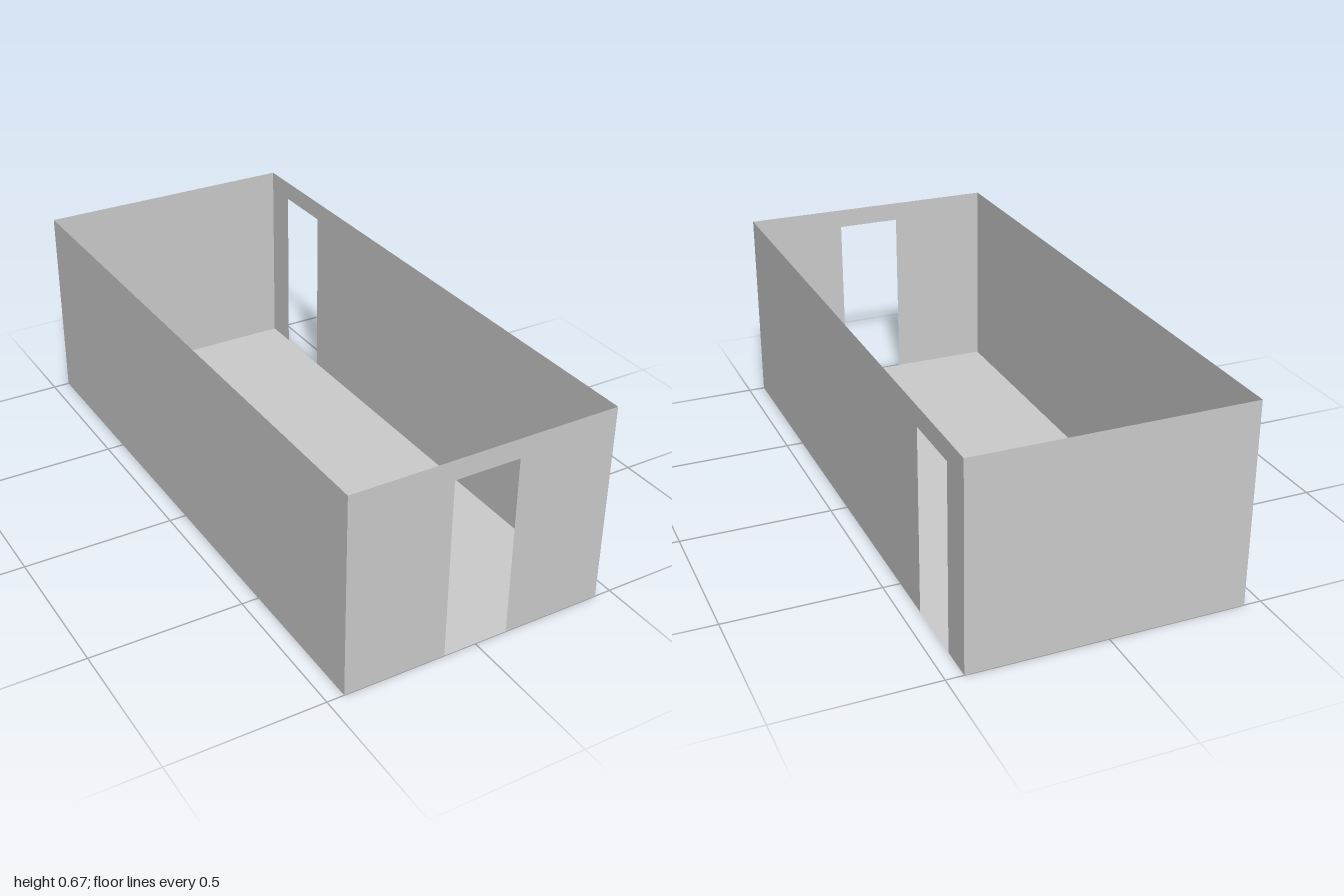
import * as THREE from 'three';

const HALF_W = 0.444, HALF_L = 1, HEIGHT = 0.668, DOOR_H = 0.603;

const material = new THREE.MeshStandardMaterial({
  color: 0xcccccc, flatShading: true, side: THREE.DoubleSide,
});

// Thin wall panel, centred on x; door = [from, to] cuts a doorway up from the floor
function makeWall(name, halfWidth, door) {
  const s = new THREE.Shape();
  s.moveTo(-halfWidth, 0);
  if (door) {
    s.lineTo(door[0], 0);
    s.lineTo(door[0], DOOR_H);
    s.lineTo(door[1], DOOR_H);
    s.lineTo(door[1], 0);
  }
  s.lineTo(halfWidth, 0);
  s.lineTo(halfWidth, HEIGHT);
  s.lineTo(-halfWidth, HEIGHT);
  s.closePath();
  const wall = new THREE.Mesh(new THREE.ShapeGeometry(s), material);
  wall.name = name;
  return wall;
}

export function createModel() {
  const room = new THREE.Group();
  room.name = 'room';

  // Floor
  const floor = new THREE.Mesh(new THREE.PlaneGeometry(2 * HALF_W, 2 * HALF_L), material);
  floor.name = 'floor';
  floor.rotation.x = -Math.PI / 2;
  room.add(floor);

  // End walls, with a central doorway in the front
  const front = makeWall('frontWall', HALF_W, [-0.108, 0.11]);
  front.position.z = HALF_L;
  const back = makeWall('backWall', HALF_W);
  back.rotation.y = Math.PI;
  back.position.z = -HALF_L;

  // Long side walls, with a doorway near the back of the left one
  const left = makeWall('leftWall', HALF_L, [0.665, 0.885]);
  left.rotation.y = Math.PI / 2;
  left.position.x = HALF_W;
  const right = makeWall('rightWall', HALF_L);
  right.rotation.y = -Math.PI / 2;
  right.position.x = -HALF_W;

  room.add(front, back, left, right);
  return room;
}
